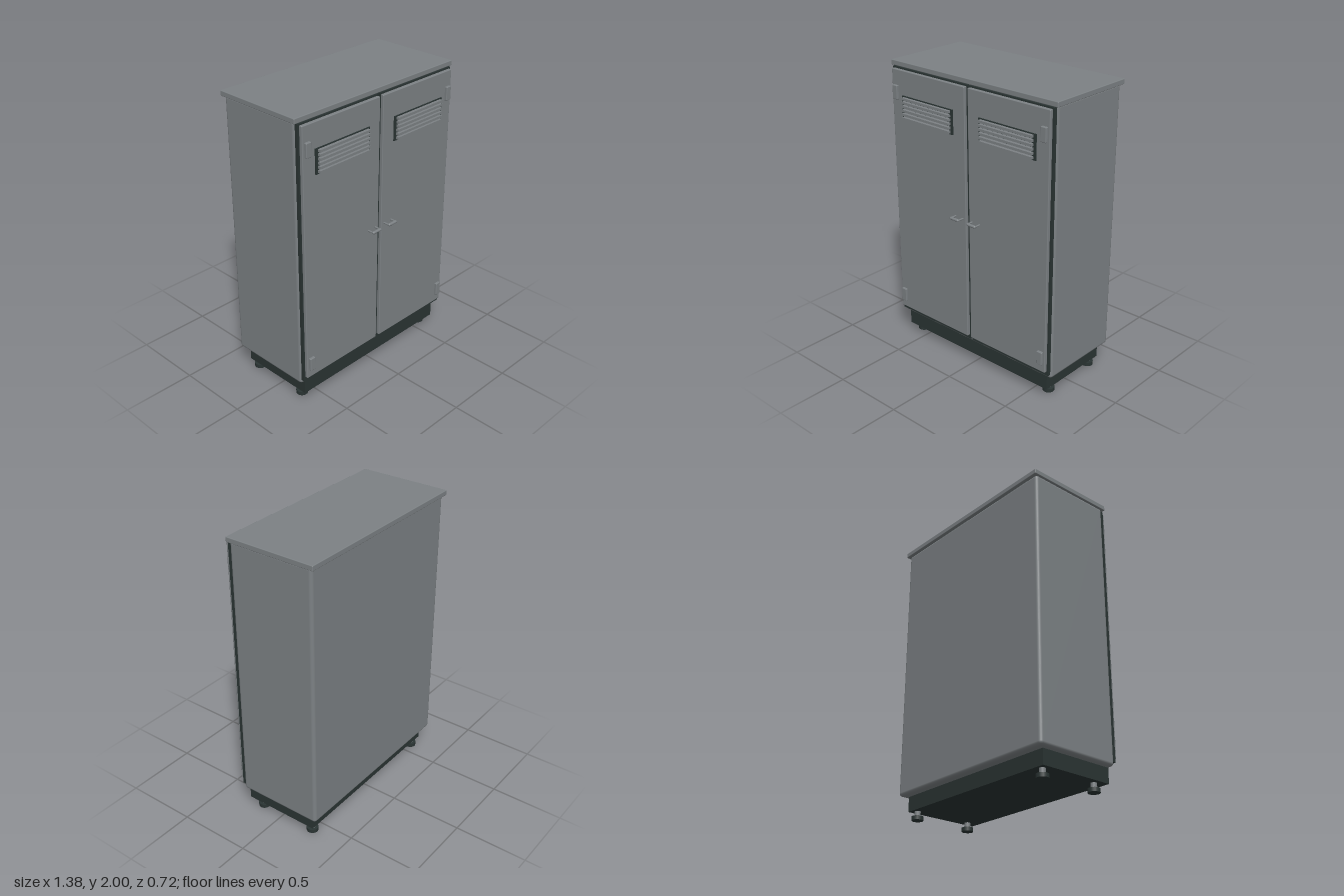
import * as THREE from 'three';
import { RoundedBoxGeometry } from 'three/addons/geometries/RoundedBoxGeometry.js';

export function createModel() {
  const root = new THREE.Group();
  root.name = 'cabinet';
  const grey = new THREE.MeshStandardMaterial({ color: 0x7c8184 });
  grey.name = 'painted grey';
  const dark = new THREE.MeshStandardMaterial({ color: 0x2a3433 });
  dark.name = 'dark rubber';

  const add = (parent, name, geometry, material, x = 0, y = 0, z = 0) => {
    const mesh = new THREE.Mesh(geometry, material);
    mesh.name = name;
    mesh.position.set(x, y, z);
    parent.add(mesh);
    return mesh;
  };
  // Box from its limits on each axis, optionally with rounded edges
  const box = (parent, name, material, [x0, x1], [y0, y1], [z0, z1], radius = 0) => {
    const size = [x1 - x0, y1 - y0, z1 - z0];
    const geometry = radius
      ? new RoundedBoxGeometry(...size, 3, radius)
      : new THREE.BoxGeometry(...size);
    return add(parent, name, geometry, material, (x0 + x1) / 2, (y0 + y1) / 2, (z0 + z1) / 2);
  };

  // Main carcass, lid and plinth
  box(root, 'body', grey, [-0.675, 0.675], [0.16, 1.975], [-0.34, 0.262], 0.022);
  box(root, 'lid', grey, [-0.688, 0.688], [1.965, 2], [-0.36, 0.277], 0.005);
  box(root, 'plinth', dark, [-0.633, 0.633], [0.06, 0.175], [-0.285, 0.25]);

  // Adjustable feet
  for (const x of [-0.585, 0.585]) {
    for (const z of [-0.245, 0.17]) {
      const foot = new THREE.Group();
      foot.name = 'foot';
      foot.position.set(x, 0, z);
      root.add(foot);
      add(foot, 'footPad', new THREE.CylinderGeometry(0.039, 0.039, 0.026, 20), dark, 0, 0.013);
      add(foot, 'footStem', new THREE.CylinderGeometry(0.02, 0.02, 0.06, 16), grey, 0, 0.031);
    }
  }

  // Two mirrored doors; s is the side
  for (const s of [-1, 1]) {
    const door = new THREE.Group();
    door.name = s > 0 ? 'leftDoor' : 'rightDoor';
    root.add(door);
    const span = (a, b) => (s > 0 ? [a, b] : [-b, -a]);

    box(door, 'doorSeal', dark, span(0.006, 0.666), [0.19, 1.962], [0.255, 0.28]);
    box(door, 'doorPanel', grey, span(0.014, 0.655), [0.22, 1.953], [0.278, 0.303], 0.005);

    // Hinges
    for (const y of [0.322, 1.803]) {
      box(door, 'hinge', grey, span(0.598, 0.64), [y - 0.047, y + 0.047], [0.298, 0.32], 0.005);
    }

    // Louvred vent
    box(door, 'ventPlate', dark, span(0.11, 0.56), [1.628, 1.79], [0.3, 0.311]);
    for (let i = 0; i < 6; i++) {
      const y = 1.645 + i * 0.0262;
      box(door, 'ventSlat', grey, span(0.126, 0.543), [y - 0.008, y + 0.008], [0.309, 0.332]);
    }

    // Pull handle: a bar on two posts
    const handle = new THREE.Group();
    handle.name = 'handle';
    handle.position.set(s * 0.073, 1.08, 0);
    door.add(handle);
    const bar = add(handle, 'handleBar', new THREE.CapsuleGeometry(0.01, 0.058, 4, 12), grey, 0, 0, 0.347);
    bar.rotation.z = Math.PI / 2;
    for (const x of [-0.032, 0.032]) {
      const post = add(handle, 'handlePost', new THREE.CylinderGeometry(0.006, 0.006, 0.046, 10), grey, x, 0, 0.324);
      post.rotation.x = Math.PI / 2;
    }
  }
  return root;
}
